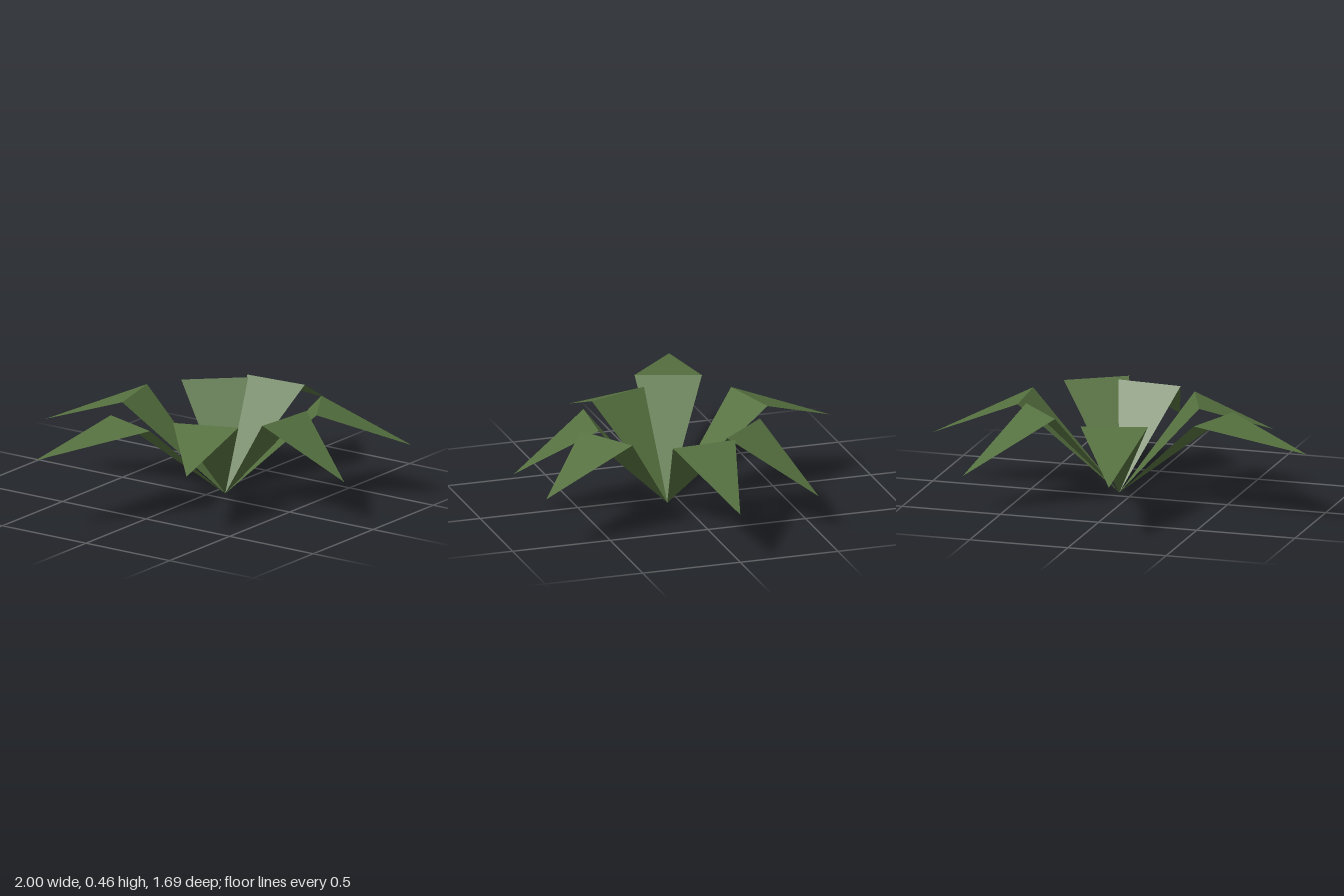
import * as THREE from 'three';

const BASE = new THREE.Vector3(0.07, 0, 0.065);
const FOLD_HEIGHT = 0.457;
const HALF_WIDTH = 0.164;

// Each leaf: tip position and horizontal distance from the base to its fold
const LEAVES = [
  { tip: [1.0, 0.245, 0.0], fold: 0.47 },
  { tip: [0.69, 0.178, -0.505], fold: 0.424 },
  { tip: [-0.16, 0.275, -0.845], fold: 0.473 },
  { tip: [-1.0, 0.368, -0.3], fold: 0.566 },
  { tip: [-0.63, 0.305, 0.335], fold: 0.377 },
  { tip: [0.0, 0.21, 0.827], fold: 0.38 },
  { tip: [0.545, 0.265, 0.842], fold: 0.457 },
];

// A leaf is two flat triangles: a rising blade and a drooping tip, folded at the widest line
function leafGeometry({ tip, fold }) {
  const end = new THREE.Vector3(...tip);
  const dir = end.clone().sub(BASE).setY(0).normalize();
  const side = new THREE.Vector3(-dir.z, 0, dir.x);
  const middle = BASE.clone().addScaledVector(dir, fold).setY(FOLD_HEIGHT);
  const a = middle.clone().addScaledVector(side, HALF_WIDTH);
  const b = middle.clone().addScaledVector(side, -HALF_WIDTH);
  const geometry = new THREE.BufferGeometry().setFromPoints([BASE, a, b, end, b, a]);
  geometry.computeVertexNormals();
  return geometry;
}

export function createModel() {
  const plant = new THREE.Group();
  plant.name = 'plant';
  const green = new THREE.MeshStandardMaterial({
    color: 0x55703f,
    flatShading: true,
    side: THREE.DoubleSide,
  });
  LEAVES.forEach((leaf, i) => {
    const mesh = new THREE.Mesh(leafGeometry(leaf), green);
    mesh.name = `leaf${i + 1}`;
    plant.add(mesh);
  });
  return plant;
}
